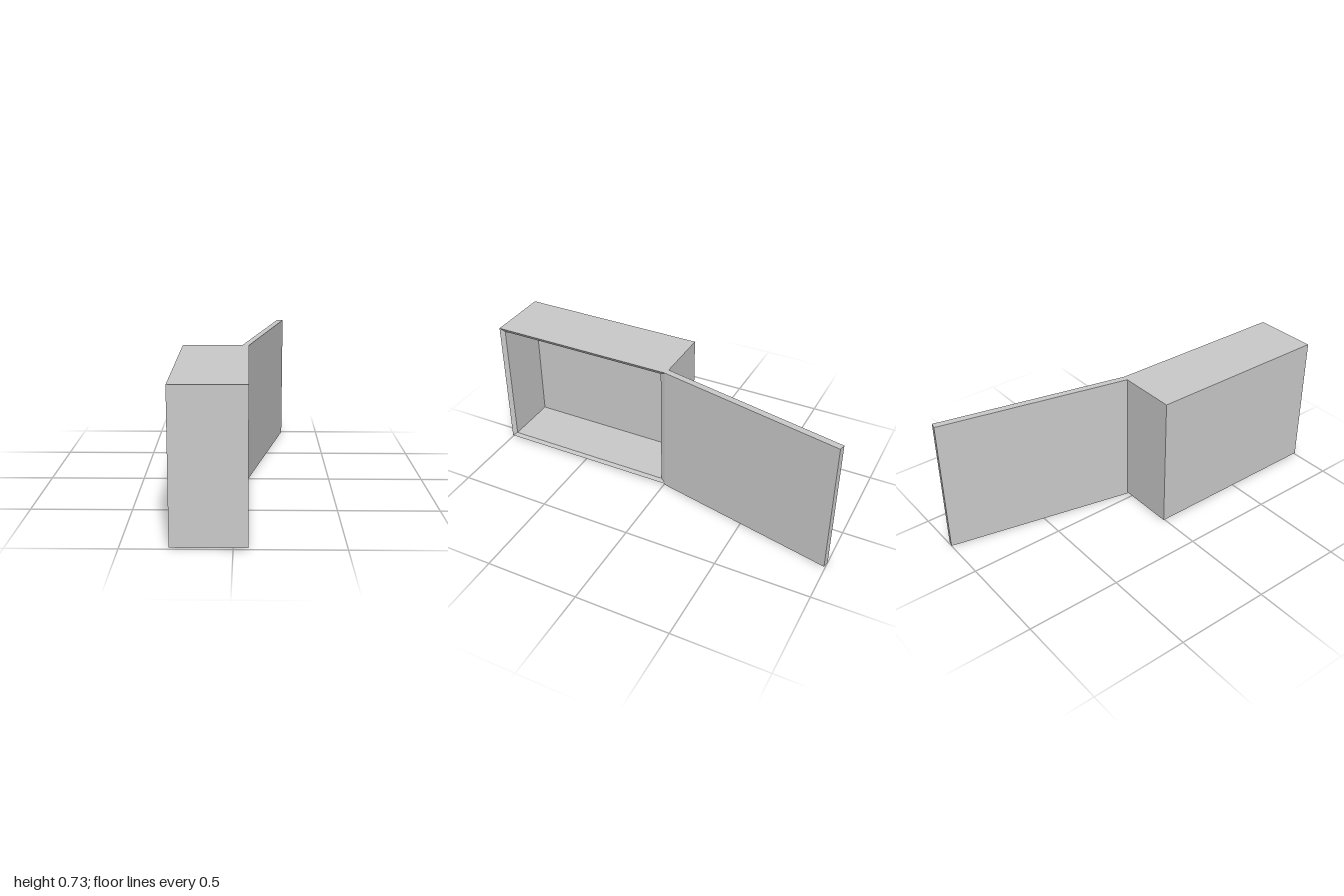
import * as THREE from 'three';

const grey = new THREE.MeshStandardMaterial({ color: 0xcccccc, flatShading: true });

// Rectangle in the plane x, counter-clockwise as seen from +x
function ring(x, y0, y1, z0, z1) {
  return [[x, y0, z1], [x, y0, z0], [x, y1, z0], [x, y1, z1]];
}

// Skins a row of rectangles and closes both ends
function loft(rings) {
  const pos = [];
  const quad = (a, b, c, d) => pos.push(...a, ...b, ...c, ...a, ...c, ...d);
  for (let r = 0; r < rings.length - 1; r++) {
    const a = rings[r], b = rings[r + 1];
    for (let i = 0; i < 4; i++) {
      const j = (i + 1) % 4;
      quad(a[i], a[j], b[j], b[i]);
    }
  }
  quad(...[...rings[0]].reverse());
  quad(...rings[rings.length - 1]);
  const geo = new THREE.BufferGeometry();
  geo.setAttribute('position', new THREE.Float32BufferAttribute(pos, 3));
  geo.computeVertexNormals();
  return geo;
}

export function createModel() {
  const group = new THREE.Group();

  // Hollow cabinet: outer back, outer front edge, bevelled rim, inner back wall
  const outer = [0.007, 0.73, -0.012, 1];
  const inner = [0.027, 0.71, 0.022, 0.974];
  const cabinet = new THREE.Mesh(loft([
    ring(-0.28, ...outer),
    ring(0.066, ...outer),
    ring(0.054, ...inner),
    ring(-0.24, ...inner),
  ]), grey);
  cabinet.name = 'cabinet';
  group.add(cabinet);

  // Door panel swung open on the rear edge of the opening
  const thickness = 0.035, height = 0.73;
  const hinge = new THREE.Vector2(0.032, -0.012);
  const tip = new THREE.Vector2(0.244, -1);
  const width = hinge.distanceTo(tip);
  const doorGeo = new THREE.BoxGeometry(thickness, height, width);
  doorGeo.translate(thickness / 2, height / 2, -width / 2);
  const door = new THREE.Mesh(doorGeo, grey);
  door.position.set(hinge.x, 0, hinge.y);
  door.rotation.y = -Math.atan2(tip.x - hinge.x, hinge.y - tip.y);
  door.name = 'door';
  group.add(door);

  return group;
}
